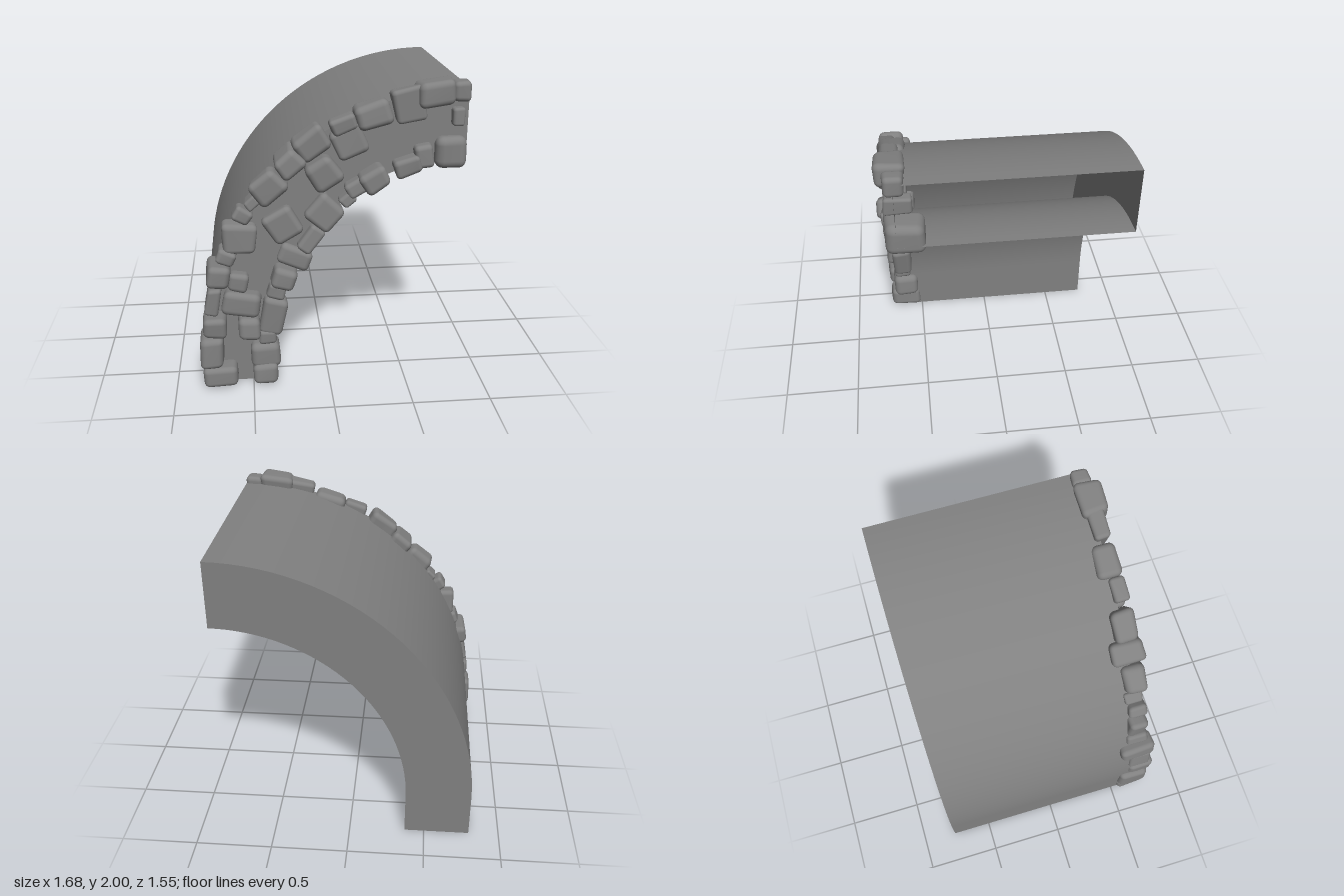
import * as THREE from 'three';
import { mergeVertices } from 'three/addons/utils/BufferGeometryUtils.js';
import { RoundedBoxGeometry } from 'three/addons/geometries/RoundedBoxGeometry.js';

// Half arch: a short straight leg, then a quarter circle about (CX, CY)
const CX = 0.84, CY = 0.3, OUTER = 1.64, INNER = 1.21;
const BACK = -0.77, FRONT = 0.63, STEPS = 32;

// Each stone: x, y, width, height, tilt in degrees, back z, front z
const outerStones = [
  [-0.71, 0.08, 0.22, 0.14, 0, 0.54, 0.75],
  [-0.76, 0.26, 0.15, 0.22, 0, 0.54, 0.75],
  [-0.74, 0.45, 0.15, 0.14, -3, 0.58, 0.77],
  [-0.74, 0.62, 0.09, 0.19, -10, 0.58, 0.74],
  [-0.70, 0.79, 0.15, 0.14, -10, 0.51, 0.75],
  [-0.65, 0.91, 0.11, 0.10, -20, 0.56, 0.71],
  [-0.56, 1.03, 0.21, 0.19, -4, 0.57, 0.70],
  [-0.54, 1.18, 0.12, 0.10, -30, 0.58, 0.70],
  [-0.48, 1.26, 0.09, 0.07, 45, 0.56, 0.69],
  [-0.38, 1.36, 0.20, 0.17, 40, 0.57, 0.72],
  [-0.25, 1.51, 0.17, 0.14, 40, 0.52, 0.74],
  [-0.11, 1.62, 0.22, 0.17, 35, 0.56, 0.71],
  [0.08, 1.74, 0.17, 0.10, 20, 0.61, 0.71],
  [0.26, 1.79, 0.22, 0.16, 15, 0.55, 0.71],
  [0.47, 1.85, 0.19, 0.20, 10, 0.59, 0.69],
  [0.63, 1.92, 0.22, 0.15, 5, 0.56, 0.74],
  [0.785, 1.92, 0.11, 0.12, 0, 0.57, 0.69],
];
const innerStones = [
  [-0.42, 0.08, 0.15, 0.14, 0, 0.52, 0.74],
  [-0.42, 0.21, 0.19, 0.17, 0, 0.53, 0.71],
  [-0.40, 0.34, 0.11, 0.10, 0, 0.58, 0.70],
  [-0.36, 0.49, 0.15, 0.26, -10, 0.56, 0.70],
  [-0.34, 0.66, 0.11, 0.10, -15, 0.58, 0.70],
  [-0.29, 0.76, 0.16, 0.15, -20, 0.52, 0.74],
  [-0.22, 0.88, 0.21, 0.14, -25, 0.52, 0.67],
  [-0.12, 1.00, 0.10, 0.19, -35, 0.50, 0.69],
  [-0.03, 1.18, 0.19, 0.19, -40, 0.56, 0.70],
  [0.11, 1.27, 0.10, 0.08, 40, 0.57, 0.70],
  [0.17, 1.35, 0.14, 0.10, 30, 0.58, 0.71],
  [0.27, 1.40, 0.17, 0.14, 30, 0.53, 0.75],
  [0.47, 1.47, 0.17, 0.11, 20, 0.57, 0.72],
  [0.57, 1.53, 0.12, 0.14, 10, 0.59, 0.70],
  [0.74, 1.55, 0.20, 0.20, 0, 0.46, 0.70],
];
const faceStones = [
  [0.12, 1.64, 0.20, 0.20, 25, 0.56, 0.70],
  [-0.04, 1.44, 0.19, 0.19, 35, 0.57, 0.74],
  [-0.29, 1.11, 0.20, 0.20, 30, 0.56, 0.70],
  [-0.58, 0.73, 0.13, 0.12, -10, 0.57, 0.70],
  [-0.56, 0.59, 0.23, 0.15, -10, 0.58, 0.73],
  [-0.52, 0.42, 0.15, 0.15, 0, 0.56, 0.75],
  [0.77, 1.77, 0.07, 0.11, 0, 0.53, 0.69],
];

// Points of one arch edge, from the ground up to the crown
function archLine(radius) {
  const points = [new THREE.Vector2(CX - radius, 0)];
  for (let i = 0; i <= STEPS; i++) {
    const a = Math.PI - (i / STEPS) * Math.PI / 2;
    points.push(new THREE.Vector2(CX + radius * Math.cos(a), CY + radius * Math.sin(a)));
  }
  return points;
}

// Curved sheet running from back to front along an arch edge
function archSheet(radius) {
  const points = archLine(radius);
  const geometry = new THREE.PlaneGeometry(1, 1, points.length - 1, 1);
  const pos = geometry.attributes.position;
  for (let i = 0; i < pos.count; i++) {
    const p = points[i % points.length];
    pos.setXYZ(i, p.x, p.y, i < points.length ? BACK : FRONT);
  }
  geometry.computeVertexNormals();
  return geometry;
}

function seededRandom(seed) {
  return () => {
    seed = (seed * 16807) % 2147483647;
    return seed / 2147483647;
  };
}

// Rounded block whose eight corners are pulled about a little
function stoneGeometry(w, h, d, random) {
  const size = [w, h, d];
  const radius = 0.26 * Math.min(w, h, d);
  let geometry = new RoundedBoxGeometry(w, h, d, 4, radius);
  const corners = Array.from({ length: 8 }, () => size.map((s) => (random() - 0.5) * 0.14 * s));
  geometry.deleteAttribute('normal');
  geometry.deleteAttribute('uv');
  geometry = mergeVertices(geometry, 1e-5);
  const pos = geometry.attributes.position;
  for (let i = 0; i < pos.count; i++) {
    const p = [pos.getX(i), pos.getY(i), pos.getZ(i)];
    const t = p.map((v, k) => v / size[k] + 0.5);
    corners.forEach((offset, c) => {
      const weight = t.reduce((m, v, k) => m * ((c >> k) & 1 ? v : 1 - v), 1);
      offset.forEach((o, k) => { p[k] += o * weight; });
    });
    pos.setXYZ(i, ...p);
  }
  geometry.computeVertexNormals();
  return geometry;
}

export function createModel() {
  const model = new THREE.Group();
  model.name = 'stoneArch';
  const stone = new THREE.MeshStandardMaterial({ color: 0x808080, side: THREE.DoubleSide });
  stone.name = 'grey stone';

  const add = (parent, name, geometry) => {
    const mesh = new THREE.Mesh(geometry, stone);
    mesh.name = name;
    parent.add(mesh);
    return mesh;
  };

  // Hollow vault, open at the crown and at the foot
  const vault = new THREE.Group();
  vault.name = 'vault';
  model.add(vault);
  add(vault, 'outerShell', archSheet(OUTER));
  add(vault, 'innerShell', archSheet(INNER));
  const profile = new THREE.Shape([...archLine(OUTER), ...archLine(INNER).reverse()]);
  add(vault, 'frontWall', new THREE.ShapeGeometry(profile)).position.z = FRONT;
  const backWall = add(vault, 'backWall', new THREE.ShapeGeometry(profile).rotateY(Math.PI));
  backWall.position.set(0, 0, BACK);
  backWall.geometry.scale(-1, 1, 1);
  // restore outward winding after the mirror
  const index = backWall.geometry.index;
  for (let i = 0; i < index.count; i += 3) {
    const a = index.getX(i);
    index.setX(i, index.getX(i + 2));
    index.setX(i + 2, a);
  }

  // Stones set into the front wall
  const random = seededRandom(4711);
  const rows = { outerStones, innerStones, faceStones };
  for (const [name, list] of Object.entries(rows)) {
    const group = new THREE.Group();
    group.name = name;
    model.add(group);
    for (const [x, y, w, h, tilt, z0, z1] of list) {
      const mesh = add(group, 'stone', stoneGeometry(w, h, z1 - z0, random));
      mesh.position.set(x, y, (z0 + z1) / 2);
      mesh.rotation.z = THREE.MathUtils.degToRad(tilt);
    }
  }
  return model;
}
